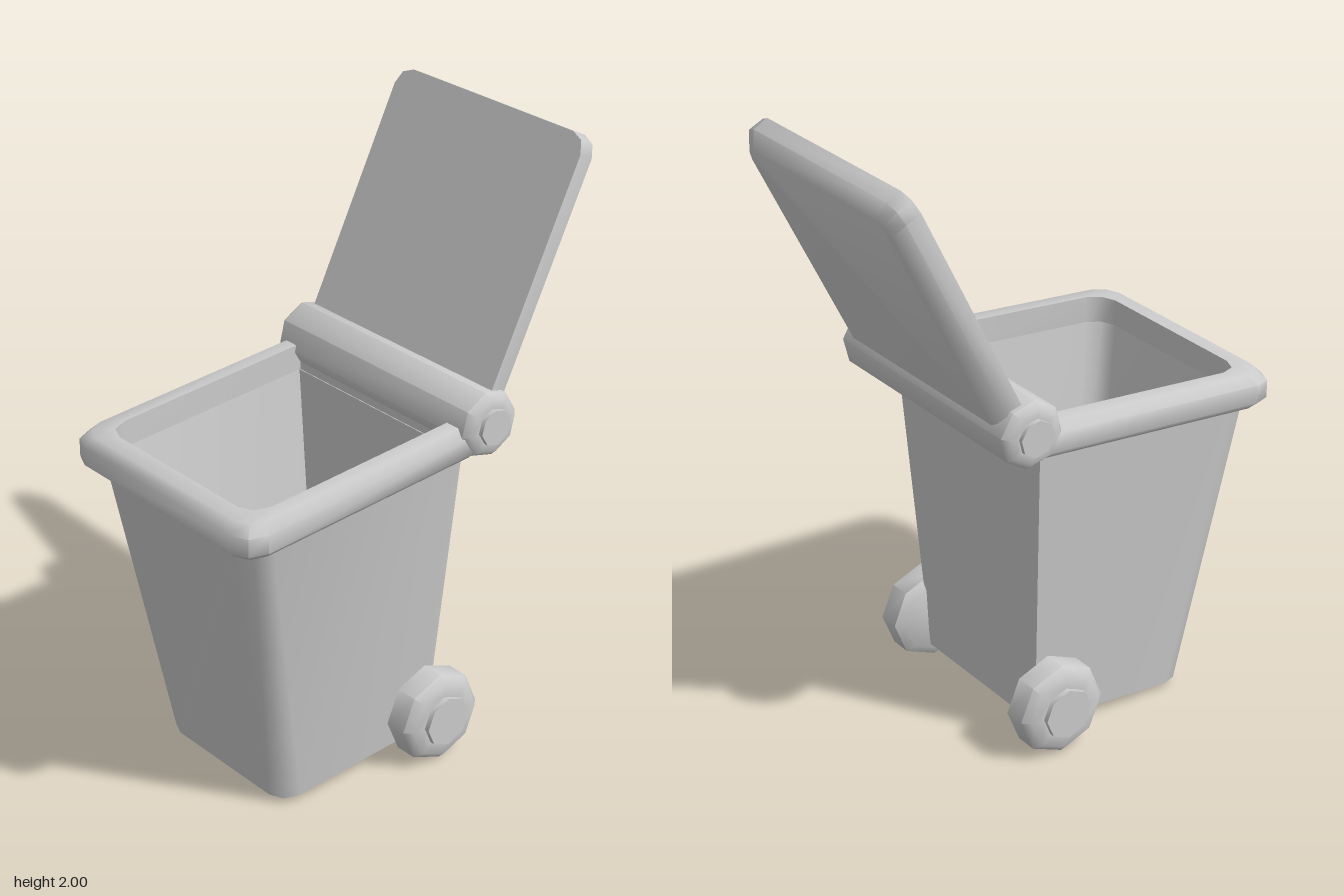
import * as THREE from 'three';
import { toCreasedNormals } from 'three/addons/utils/BufferGeometryUtils.js';

const material = new THREE.MeshStandardMaterial({ color: 0xcccccc });
const CREASE = 0.9; // keeps octagons and bevels smooth, right angles sharp
const SLOPE = 0.07; // the bin leans back, so its levels rise towards the rear

function part(name, geometry) {
  const mesh = new THREE.Mesh(toCreasedNormals(geometry, CREASE), material);
  mesh.name = name;
  return mesh;
}

// Rectangle with square rear corners and rounded front corners
function section(halfWidth, back, front, radius, level, slope = SLOPE) {
  const plan = [[-halfWidth, back], [halfWidth, back]];
  for (let i = 0; i <= 5; i++) {
    const side = i < 3 ? 1 : -1;
    const a = (i < 3 ? i : 5 - i) * Math.PI / 4;
    plan.push([
      side * (halfWidth - radius + radius * Math.cos(a)),
      front - radius + radius * Math.sin(a),
    ]);
  }
  return plan.map(([x, z]) => [x, level + slope * (0.7 - z), z]);
}

// Skin over successive sections, optionally closed at both ends
function loft(sections, capped = true) {
  const n = sections[0].length;
  const index = [];
  for (let s = 0; s < sections.length - 1; s++) {
    for (let i = 0; i < n; i++) {
      const a = s * n + i, b = s * n + (i + 1) % n;
      index.push(a, a + n, b, b, a + n, b + n);
    }
  }
  if (capped) {
    const last = (sections.length - 1) * n;
    for (let i = 1; i < n - 1; i++) {
      index.push(0, i, i + 1, last, last + i + 1, last + i);
    }
  }
  const geometry = new THREE.BufferGeometry();
  geometry.setAttribute('position', new THREE.Float32BufferAttribute(sections.flat(2), 3));
  geometry.setIndex(index);
  return geometry;
}

// Eight-sided turned part lying along x; profile pairs are [radius, x]
function turned(profile, twist = 0) {
  const points = profile.map(([r, x]) => new THREE.Vector2(r, x));
  return new THREE.LatheGeometry(points, 8).rotateY(twist).rotateZ(-Math.PI / 2);
}

export function createModel() {
  const model = new THREE.Group();
  model.name = 'wheeledBin';

  // Tapered hollow container: outside up, then inside down to the floor
  model.add(part('container', loft([
    section(0.30, -0.125, 0.47, 0.07, 0),
    section(0.39, -0.175, 0.65, 0.08, 1.02),
    section(0.36, -0.15, 0.62, 0.07, 1.03),
    section(0.235, -0.11, 0.468, 0.06, 0.04),
  ])));

  // Thick bevelled rim around the front and sides
  const rim = [
    [0.36, 0.62, 0.07, 1.005, -0.155],
    [0.415, 0.68, 0.07, 1.005],
    [0.44, 0.705, 0.08, 1.03],
    [0.44, 0.705, 0.08, 1.09],
    [0.41, 0.675, 0.07, 1.12],
    [0.36, 0.62, 0.07, 1.12, -0.155],
    [0.36, 0.62, 0.07, 1.005, -0.155],
  ];
  model.add(part('rim', loft(
    rim.map(([w, front, r, level, back = -0.18]) => section(w, back, front, r, level)),
    false,
  )));

  // Hinge barrel with stepped end caps
  const capProfile = [[0.11, 0.435], [0.09, 0.457], [0.06, 0.457], [0.06, 0.472], [0, 0.472]];
  const mirrored = capProfile.map(([r, x]) => [r, -x]).reverse();
  const hinge = part('hinge', turned([...mirrored, ...capProfile], 0.14));
  hinge.position.set(0, 1.17, -0.24);
  model.add(hinge);

  // Open lid, modelled flat with a bevelled outer side, then swung back
  const lid = part('lid', loft([
    section(0.42, -0.02, 0.816, 0.06, 0, 0),
    section(0.42, -0.02, 0.816, 0.06, 0.055, 0),
    section(0.38, -0.02, 0.776, 0.05, 0.098, 0),
  ]));
  lid.rotation.x = -2.034;
  lid.position.set(0, 1.27, -0.265);
  model.add(lid);

  // Wheels with raised hubs
  const wheelProfile = [
    [0, 0.305], [0.125, 0.305], [0.155, 0.325], [0.155, 0.4],
    [0.13, 0.425], [0.085, 0.425], [0.085, 0.443], [0, 0.443],
  ];
  for (const [name, turn] of [['leftWheel', 0], ['rightWheel', Math.PI]]) {
    const wheel = part(name, turned(wheelProfile));
    wheel.rotation.y = turn;
    wheel.position.set(0, 0.155, -0.095);
    model.add(wheel);
  }

  return model;
}
